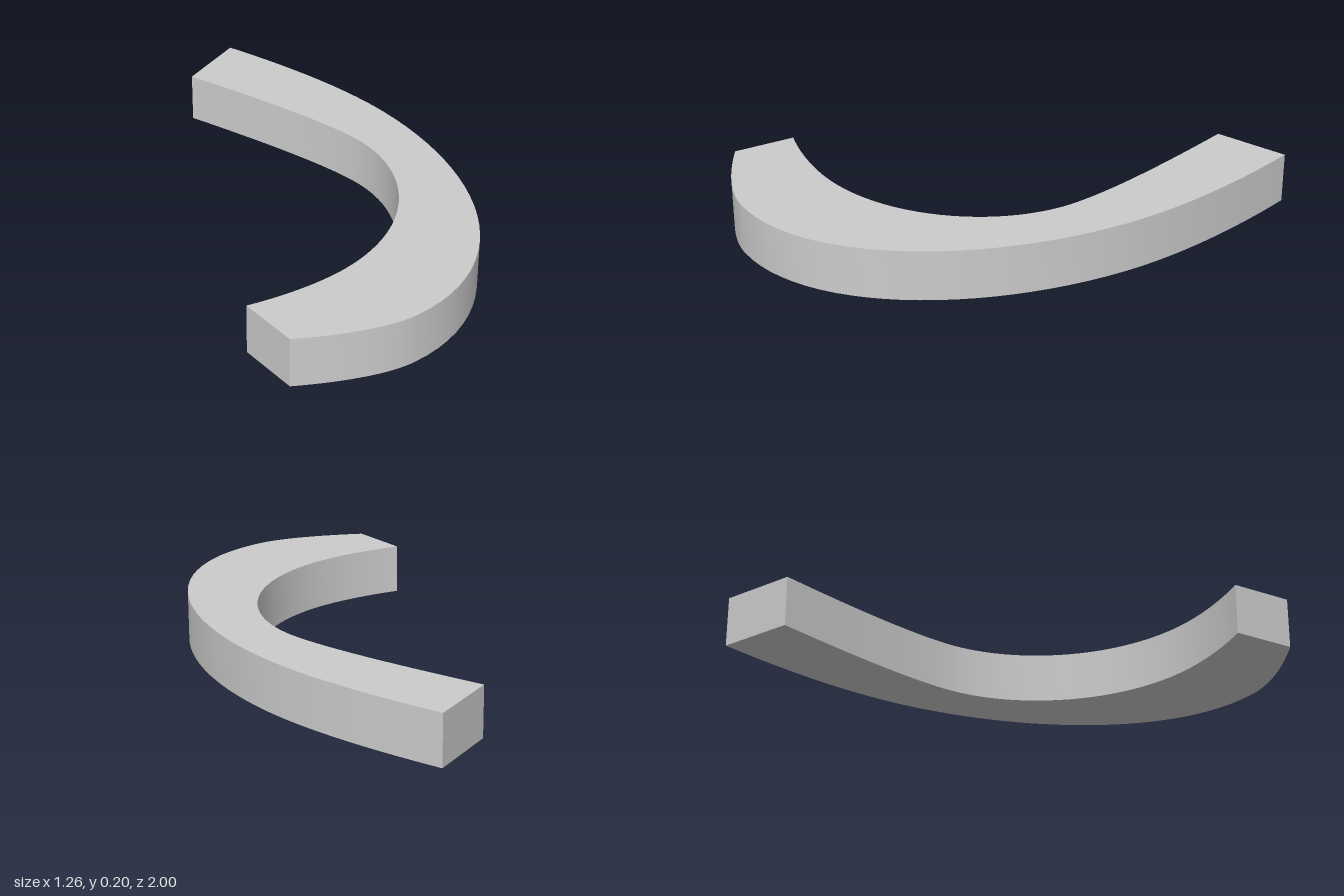
import * as THREE from 'three';
import { toCreasedNormals } from 'three/addons/utils/BufferGeometryUtils.js';

const HEIGHT = 0.2;

export function createModel() {
  const group = new THREE.Group();
  group.name = 'curvedBlock';

  // Plan outline, given as x and z (shape y is -z)
  const s = new THREE.Shape();
  const curve = (ax, az, bx, bz, x, z) => s.bezierCurveTo(ax, -az, bx, -bz, x, -z);

  // Outer edge, from the back end round to the front left end
  s.moveTo(0.463, 1);
  curve(0.555, -0.72, 0.627, -0.42, 0.627, -0.16);
  curve(0.627, 0.45, 0.30, 1, -0.2, 1);
  curve(-0.33, 1, -0.50, 0.92, -0.63, 0.845);

  // Straight end, then the inner edge back to the start
  s.lineTo(-0.63, -0.597);
  curve(-0.53, 0.622, -0.42, 0.635, -0.32, 0.635);
  curve(0.107, 0.635, 0.4, 0.307, 0.4, -0.02);
  curve(0.4, -0.20, 0.29, -0.56, 0.18, -0.885);
  s.closePath();

  // Extrude upwards, smooth along the curves and sharp at the edges
  const geometry = new THREE.ExtrudeGeometry(s, { depth: HEIGHT, bevelEnabled: false, curveSegments: 24 });
  geometry.rotateX(-Math.PI / 2);

  const slab = new THREE.Mesh(
    toCreasedNormals(geometry, 0.5),
    new THREE.MeshStandardMaterial({ color: 0xcccccc })
  );
  slab.name = 'curvedSlab';
  group.add(slab);
  return group;
}
